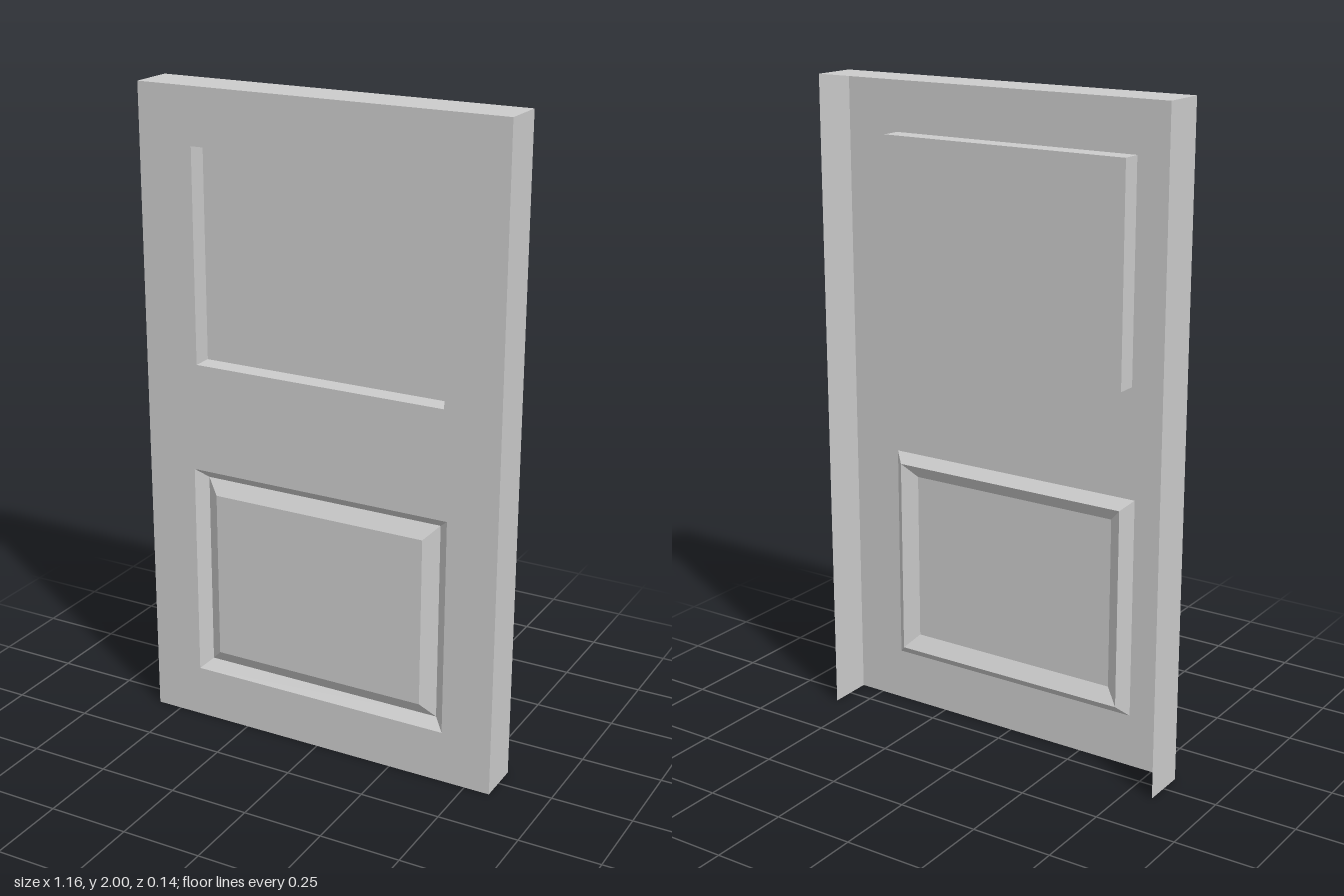
import * as THREE from 'three';

const W = 0.58, H = 2, Z = 0.07; // half width, height, half depth

const material = new THREE.MeshStandardMaterial({
  color: 0xcccccc, flatShading: true, side: THREE.DoubleSide,
});

// Corners of a rectangle, counter-clockwise from the front
const corners = ({ x, y0, y1, z }) => [[-x, y0, z], [x, y0, z], [x, y1, z], [-x, y1, z]];

// Nested rectangles joined by sloping bands, closed by the innermost one
function panelGeometry(rings) {
  const pos = [];
  const quad = (a, b, c, d) => pos.push(...a, ...b, ...c, ...a, ...c, ...d);
  const loops = rings.map(corners);
  for (let r = 0; r + 1 < loops.length; r++) {
    for (let i = 0; i < 4; i++) {
      const j = (i + 1) % 4;
      quad(loops[r][i], loops[r][j], loops[r + 1][j], loops[r + 1][i]);
    }
  }
  quad(...loops[loops.length - 1]);
  const g = new THREE.BufferGeometry();
  g.setAttribute('position', new THREE.Float32BufferAttribute(pos, 3));
  g.computeVertexNormals();
  return g;
}

export function createModel() {
  const door = new THREE.Group();
  door.name = 'doorPanel';
  const add = (name, geometry) => {
    const mesh = new THREE.Mesh(geometry, material);
    mesh.name = name;
    door.add(mesh);
    return mesh;
  };

  // Upper panel: a plain sunken box
  const upper = [
    { x: 0.405, y0: 1.176, y1: 1.829, z: Z },
    { x: 0.405, y0: 1.176, y1: 1.829, z: Z - 0.062 },
  ];
  // Lower panel: a V groove around a raised field
  const lower = [
    { x: 0.422, y0: 0.163, y1: 0.841, z: Z },
    { x: 0.389, y0: 0.194, y1: 0.811, z: Z - 0.03 },
    { x: 0.346, y0: 0.238, y1: 0.768, z: Z },
  ];

  // Front skin with an opening for each panel
  const outline = (r) => corners(r).map(([x, y]) => new THREE.Vector2(x, y));
  const skin = new THREE.Shape(outline({ x: W, y0: 0, y1: H }));
  for (const p of [upper, lower]) skin.holes.push(new THREE.Path(outline(p[0]).reverse()));
  add('frontSkin', new THREE.ShapeGeometry(skin).translate(0, 0, Z));
  add('upperPanel', panelGeometry(upper));
  add('lowerPanel', panelGeometry(lower));

  // Side and top flanges; back and bottom stay open
  for (const s of [1, -1]) {
    const side = new THREE.PlaneGeometry(2 * Z, H).rotateY(s * Math.PI / 2);
    add(s > 0 ? 'leftFlange' : 'rightFlange', side).position.set(s * W, H / 2, 0);
  }
  add('topFlange', new THREE.PlaneGeometry(2 * W, 2 * Z).rotateX(-Math.PI / 2)).position.y = H;

  return door;
}
